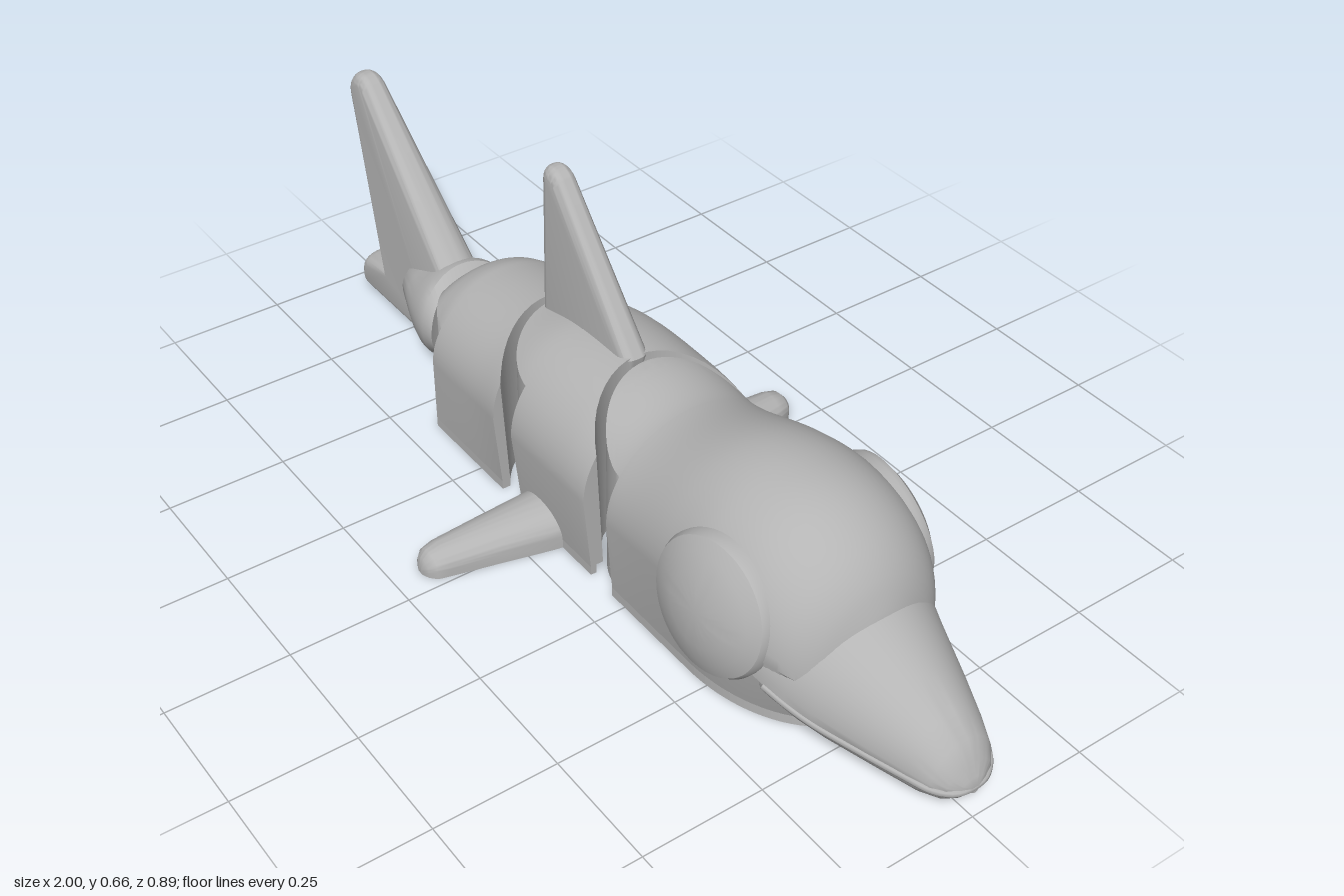
import * as THREE from 'three';
import { toCreasedNormals } from 'three/addons/utils/BufferGeometryUtils.js';

const N = 28;          // points across each half of a cross-section
const FLOOR = 0.02;    // thickness of the base plates
const BASE = 0.182;    // half width of the base
const CHIN_X = 0.45, CHIN_R = 0.27; // start and length of the rounded chin
const KNUCKLE = 0.165, SOCKET = 0.187; // hinge radii

// Body profile along x: [x, top height, half width]
const BODY = [[-.545, .19, .15], [-.53, .25, .165], [-.5, .29, .17], [-.45, .315, .175], [-.42, .32, .183],
  [-.25, .345, .19], [-.12, .372, .2], [.07, .376, .2], [.21, .367, .195], [.4, .425, .207], [.5, .435, .215],
  [.6, .42, .205], [.68, .375, .178], [.73, .315, .135], [.76, .24, .07]];

// Smooth interpolation of a profile column
function profile(x, col) {
  const last = BODY.length - 1;
  let i = 0;
  while (i < last - 1 && x > BODY[i + 1][0]) i++;
  const a = BODY[i], b = BODY[i + 1], p = BODY[Math.max(i - 1, 0)], q = BODY[Math.min(i + 2, last)];
  const d = b[0] - a[0], t = THREE.MathUtils.clamp((x - a[0]) / d, 0, 1);
  const m0 = (b[col] - p[col]) / (b[0] - p[0]) * d, m1 = (q[col] - a[col]) / (q[0] - a[0]) * d;
  const t2 = t * t, t3 = t2 * t;
  return (2 * t3 - 3 * t2 + 1) * a[col] + (t3 - 2 * t2 + t) * m0 + (3 * t2 - 2 * t3) * b[col] + (t3 - t2) * m1;
}

// Height of the body surface over a point
function surfaceY(x, z) {
  const h = profile(x, 1), w = profile(x, 2), c = h / 2;
  return c + (h - c) * Math.sqrt(Math.max(0, 1 - (z / w) ** 2));
}

// Half width of the underside, rounding off at the chin
function baseHalf(x) {
  const t = Math.max(0, x - CHIN_X) / CHIN_R;
  return BASE * Math.sqrt(Math.max(0.001, 1 - t * t));
}

// Closed hull from rings; each ring is a top row and a matching bottom row
function hull(rings) {
  const M = 2 * N + 2, pos = rings.flat(2), idx = [];
  for (let j = 0; j < rings.length - 1; j++) {
    for (let i = 0; i < M; i++) {
      const a = j * M + i, b = j * M + (i + 1) % M;
      idx.push(a, a + M, b, b, a + M, b + M);
    }
  }
  const e = (rings.length - 1) * M;
  for (let i = 0; i < N; i++) {
    const k = M - 1 - i;
    idx.push(i, i + 1, k, i + 1, k - 1, k);
    idx.push(e + i, e + k, e + i + 1, e + i + 1, e + k, e + k - 1);
  }
  const g = new THREE.BufferGeometry();
  g.setAttribute('position', new THREE.Float32BufferAttribute(pos, 3));
  g.setIndex(idx);
  return toCreasedNormals(g, 0.6);
}

// A ring from two functions of the cross-section angle, each giving [x, y, z]
function ring(top, bottom) {
  const up = [], down = [];
  for (let i = 0; i <= N; i++) {
    const t = Math.PI * i / N;
    up.push(top(Math.cos(t), Math.sin(t)));
    down.unshift(bottom(Math.cos(t), Math.sin(t)));
  }
  return [...up, ...down];
}

// Elliptic section with separate upper and lower heights; dx bends it along x
const oval = (x, w, top, mid, bot, dx = () => 0) => ring(
  (c, s) => [x + dx(w * c), mid + (top - mid) * s, w * c],
  (c, s) => [x + dx(w * c), mid - (mid - bot) * s, w * c]);

// Body shell from a flat rear to a front edge given by a function of z
function shell(rear, front, steps) {
  const rings = [];
  for (let j = 0; j <= steps; j++) {
    const at = (c) => THREE.MathUtils.lerp(rear, front(c * profile(rear, 2)), j / steps);
    rings.push(ring(
      (c, s) => { const x = at(c), h = profile(x, 1); return [x, h / 2 + h / 2 * s, profile(x, 2) * c]; },
      (c) => { const x = at(c); return [x, FLOOR, baseHalf(x) * c]; }));
  }
  return hull(rings);
}

// Round rear knuckle following the body surface
function knuckle(k) {
  const rings = [];
  for (let j = 0; j <= 20; j++) {
    const a = Math.PI * 0.53 * j / 20, x = k - KNUCKLE * Math.cos(a), w = KNUCKLE * Math.sin(a);
    rings.push(ring((c) => [x, surfaceY(x, w * c) - 0.001, w * c], (c) => [x, FLOOR, w * c]));
  }
  return hull(rings);
}

// Flat underside with a ring groove and a pin hole
function basePlate(k, rear, stop, socket) {
  const s = new THREE.Shape(), a2 = Math.acos((rear - k) / KNUCKLE);
  s.moveTo(stop, BASE);
  s.lineTo(rear, BASE);
  s.absarc(k, 0, KNUCKLE, a2, -a2, false);
  s.lineTo(rear, -BASE);
  s.lineTo(stop, -BASE);
  if (socket === null) s.absellipse(stop, 0, CHIN_R, BASE, -Math.PI / 2, Math.PI / 2, false);
  else {
    const a = Math.acos((stop - socket) / SOCKET);
    s.absarc(socket, 0, SOCKET, -a, a, true);
  }
  const circle = (p, r) => p.absarc(k, 0, r, 0, Math.PI * 2, true);
  const groove = new THREE.Path(), pin = new THREE.Shape(), hole = new THREE.Path();
  circle(groove, 0.108); circle(pin, 0.09); circle(hole, 0.052);
  s.holes.push(groove);
  pin.holes.push(hole);
  const g = new THREE.ExtrudeGeometry([s, pin], { depth: FLOOR, bevelEnabled: false, curveSegments: 28 });
  return g.rotateX(-Math.PI / 2);
}

// Upright fin with round edges; half thickness runs from low to high
function uprightFin(shape, y0, y1, low, high) {
  const bevel = 0.024, depth = 0.2;
  const g = new THREE.ExtrudeGeometry(shape, { depth, bevelEnabled: true, bevelThickness: 1,
    bevelSize: bevel, bevelOffset: -bevel, bevelSegments: 7, curveSegments: 10 });
  g.translate(0, 0, -depth / 2);
  const p = g.attributes.position;
  for (let i = 0; i < p.count; i++) {
    const t = THREE.MathUtils.clamp((p.getY(i) - y0) / (y1 - y0), 0, 1);
    p.setZ(i, p.getZ(i) / (1 + depth / 2) * THREE.MathUtils.lerp(low, high, t));
  }
  return toCreasedNormals(g, 0.6);
}

export function createModel() {
  const model = new THREE.Group();
  const grey = new THREE.MeshStandardMaterial({ color: 0xb4b4b4 });
  grey.name = 'grey';
  const add = (name, geometry, parent = model) => {
    const m = new THREE.Mesh(geometry, grey);
    m.name = name;
    parent.add(m);
    return m;
  };

  // Three hinged body segments, rear to front: [name, hinge, rear, stop, next hinge]
  const segments = [['rearBody', -.38, -.42, -.17, -.08], ['middleBody', -.08, -.1, .14, .22], ['head', .22, .21, CHIN_X, null]];
  for (const [name, k, rear, stop, socket] of segments) {
    const part = new THREE.Group();
    part.name = name;
    model.add(part);
    const front = socket === null ? () => 0.76
      : (z) => Math.min(stop, socket - Math.sqrt(Math.max(0, SOCKET ** 2 - z * z)));
    add(name + 'Shell', shell(rear, front, socket === null ? 44 : 14), part);
    add(name + 'Knuckle', knuckle(k), part);
    add(name + 'Base', basePlate(k, rear, stop, socket), part);
  }

  // Beak: upper jaw [x, half width, top, mouth], lower jaw [x, half width, bottom, mouth]
  const upper = [[.6, .19, .3, .145], [.66, .184, .3, .137], [.7, .17, .29, .12], [.75, .152, .265, .105], [.85, .115, .215, .092],
    [.92, .087, .178, .083], [.96, .069, .148, .077], [.98, .05, .115, .073], [.992, .027, .088, .071], [.998, .008, .075, .07]];
  add('upperJaw', hull(upper.map(([x, w, h, c]) => oval(x, w, h, c, c - 0.012))));
  const lower = [[.6, .172, 0, .13], [.7, .154, 0, .11], [.75, .138, 0, .098], [.85, .1, 0, .084],
    [.92, .074, .003, .076], [.955, .056, .014, .072], [.975, .036, .03, .067], [.984, .012, .05, .064]];
  add('lowerJaw', hull(lower.map(([x, w, b, c]) => oval(x, w, c + 0.004, c, b))));

  // Lip running around the mouth
  const side = upper.slice(1, 9).map(([x, w, , c]) => new THREE.Vector3(x - 0.003, c - 0.004, w - 0.003));
  const lip = [...side, ...side.map((v) => new THREE.Vector3(v.x, v.y, -v.z)).reverse()];
  add('lip', new THREE.TubeGeometry(new THREE.CatmullRomCurve3(lip), 80, 0.008, 8));

  // Large domed eyes and side fins, mirrored across z
  const eyeProfile = [[0, -.06], [.136, -.06], [.136, 0], [.13, .012], [.105, .025], [.07, .036], [.035, .042], [0, .044]];
  const eye = toCreasedNormals(new THREE.LatheGeometry(eyeProfile.map((p) => new THREE.Vector2(...p)), 48), 0.6);
  const fin = hull([[.14, -.02, .072, .086], [.2, -.025, .066, .078], [.3, -.038, .053, .065], [.4, -.05, .04, .052],
    [.425, -.051, .034, .045], [.437, -.052, .022, .032], [.443, -.052, .008, .014]]
    .map(([z, x, w, h]) => ring((c, s) => [z, h * (0.35 + 0.65 * s), w * c - x], (c) => [z, 0, w * c - x])));
  fin.rotateY(-Math.PI / 2);
  for (const s of [1, -1]) {
    const half = new THREE.Group();
    half.name = s > 0 ? 'frontSide' : 'backSide';
    half.scale.z = s;
    model.add(half);
    const e = add('eye', eye, half);
    e.position.set(.53, .23, .195);
    e.quaternion.setFromUnitVectors(new THREE.Vector3(0, 1, 0), new THREE.Vector3(.1, .16, .98).normalize());
    add('sideFin', fin, half);
  }

  // Dorsal fin
  const dorsal = new THREE.Shape();
  dorsal.moveTo(-.25, .3);
  dorsal.lineTo(.025, .3);
  dorsal.lineTo(.04, .372);
  dorsal.lineTo(-.185, .645);
  dorsal.quadraticCurveTo(-.2, .664, -.222, .664);
  dorsal.quadraticCurveTo(-.25, .664, -.25, .63);
  add('dorsalFin', uprightFin(dorsal, .4, .66, .031, .025));

  // Tail root with a hollow front, its hinge link, and the upright tail fin
  const hollow = (z) => .2 - Math.sqrt(.04 - z * z);
  const root = [[-.782, .015, .125, .095], [-.775, .04, .15, .065], [-.745, .066, .175, .035], [-.7, .084, .192, .015],
    [-.65, .103, .213, .004], [-.62, .114, .23, 0], [-.6, .118, .234, .008], [-.58, .114, .218, .03]];
  add('tailRoot', hull(root.map(([x, w, h, b], i) => {
    const bend = Math.max(0, i - 4) / 3;
    return oval(x, w, h, .12, b, (z) => bend * hollow(z));
  })));
  const link = add('tailLink', new THREE.BoxGeometry(.12, .07, .09));
  link.position.set(-.56, .035, 0);
  const tail = new THREE.Shape();
  tail.moveTo(-.625, .02);
  tail.lineTo(-.61, .225);
  tail.lineTo(-.915, .515);
  tail.quadraticCurveTo(-.945, .54, -.975, .525);
  tail.quadraticCurveTo(-1.005, .505, -.995, .47);
  tail.lineTo(-.875, .1);
  tail.lineTo(-.935, .09);
  tail.quadraticCurveTo(-.97, .08, -.97, .04);
  tail.quadraticCurveTo(-.97, 0, -.93, 0);
  tail.lineTo(-.66, 0);
  add('tailFin', uprightFin(tail, .12, .52, .052, .028));
  return model;
}
